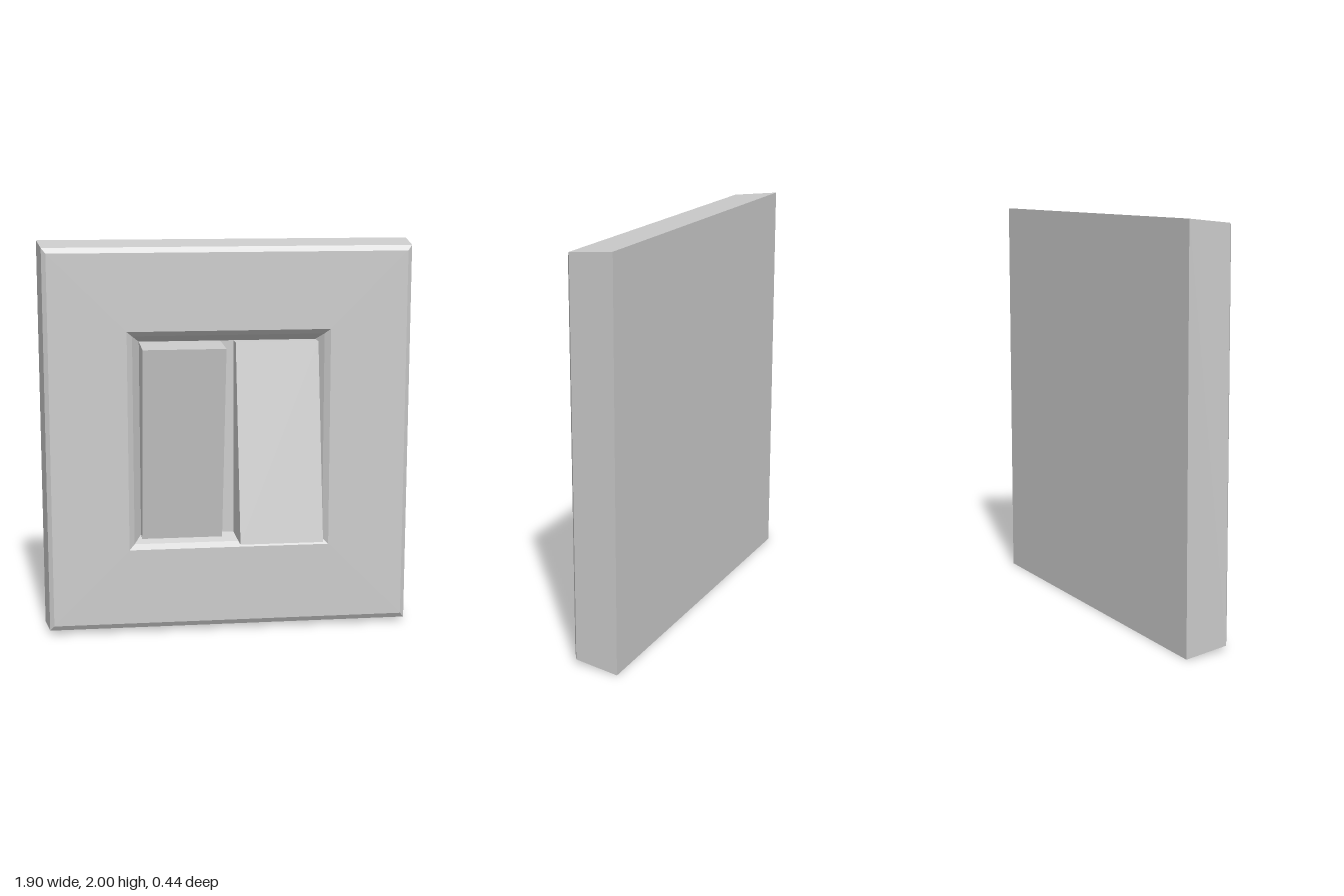
import * as THREE from 'three';

const material = new THREE.MeshStandardMaterial({ color: 0xcccccc, flatShading: true });

// Joins a run of rectangles [halfWidth, halfHeight, z] with flat faces, capping both ends.
function loftRectangles(rings) {
  const positions = [];
  const index = [];
  for (const [w, h, z] of rings) {
    positions.push(-w, -h, z, w, -h, z, w, h, z, -w, h, z);
  }
  for (let r = 0; r < rings.length - 1; r++) {
    for (let i = 0; i < 4; i++) {
      const a = r * 4 + i;
      const b = r * 4 + (i + 1) % 4;
      index.push(a, b, b + 4, a, b + 4, a + 4);
    }
  }
  const e = (rings.length - 1) * 4;
  index.push(0, 2, 1, 0, 3, 2, e, e + 1, e + 2, e, e + 2, e + 3);
  const geometry = new THREE.BufferGeometry();
  geometry.setAttribute('position', new THREE.Float32BufferAttribute(positions, 3));
  geometry.setIndex(index);
  const flat = geometry.toNonIndexed();
  flat.computeVertexNormals();
  return flat;
}

// Rocker side profile (z, y) pushed along x; flip = 1 is raised at the top, -1 at the bottom.
function makeRocker(name, centreX, width, flip) {
  const points = [[-0.06, -0.5], [0.03, -0.5], [0.22, 0.495], [0.03, 0.5], [-0.06, 0.5]];
  const shape = new THREE.Shape(points.map(([z, y]) => new THREE.Vector2(-z, y * flip)));
  const geometry = new THREE.ExtrudeGeometry(shape, { depth: width, bevelEnabled: false });
  geometry.translate(0, 0, -width / 2);
  geometry.rotateY(Math.PI / 2);
  const mesh = new THREE.Mesh(geometry, material);
  mesh.name = name;
  mesh.position.set(centreX, 1, 0);
  return mesh;
}

export function createModel() {
  const group = new THREE.Group();
  group.name = 'doubleLightSwitch';

  // Tapered wall plate: back, sides, front bevel, face, opening bevel, recess walls and floor
  const plate = new THREE.Mesh(loftRectangles([
    [0.95, 1.0, -0.22],
    [0.927, 0.977, 0.008],
    [0.905, 0.95, 0.025],
    [0.515, 0.56, 0.025],
    [0.487, 0.535, 0.0],
    [0.45, 0.5, -0.06],
  ]), material);
  plate.name = 'wallPlate';
  plate.position.y = 1;
  group.add(plate);

  // Two rockers tilted opposite ways
  group.add(makeRocker('rightRocker', -0.245, 0.41, 1));
  group.add(makeRocker('leftRocker', 0.24, 0.42, -1));

  return group;
}
